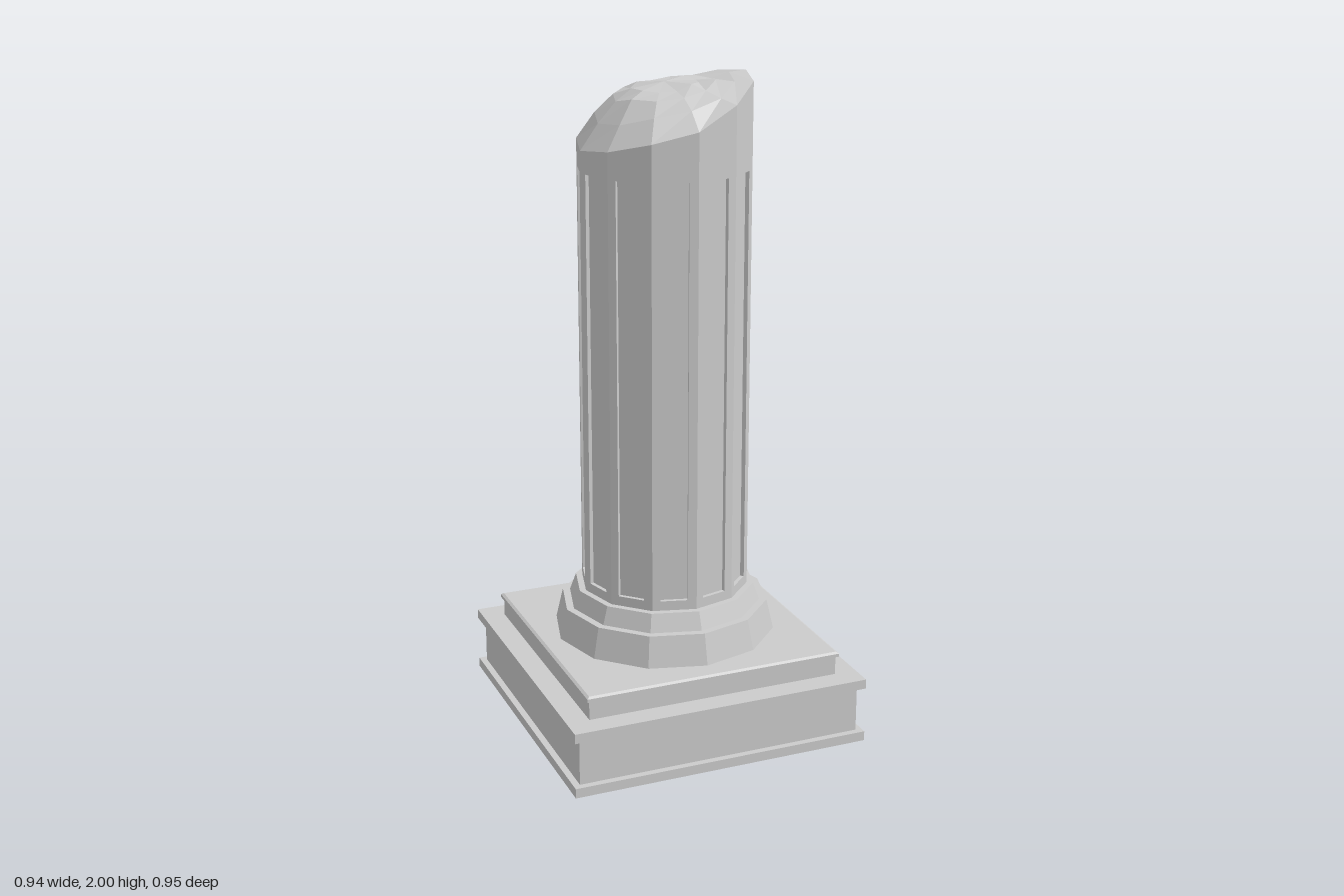
import * as THREE from 'three';

const SIDES = 12;
const RADIUS = 0.26;
const SHAFT_BOTTOM = 0.43;

const material = new THREE.MeshStandardMaterial({
  color: 0xcccccc, flatShading: true, side: THREE.DoubleSide,
});

function addMesh(group, name, geometry) {
  const mesh = new THREE.Mesh(geometry, material);
  mesh.name = name;
  group.add(mesh);
  return mesh;
}

// Faceted turned part from [radius, y] pairs
function turned(profile, sides, phiStart = 0, scale = 1) {
  const points = profile.map(([r, y]) => new THREE.Vector2(r * scale, y));
  return new THREE.LatheGeometry(points, sides, phiStart);
}

// Collects quads (corners counter-clockwise) into one geometry
function quadBuilder() {
  const positions = [];
  return {
    quad(a, b, c, d) {
      for (const p of [a, b, c, a, c, d]) positions.push(p.x, p.y, p.z);
    },
    build() {
      const geometry = new THREE.BufferGeometry();
      geometry.setAttribute('position', new THREE.Float32BufferAttribute(positions, 3));
      geometry.computeVertexNormals();
      return geometry;
    },
  };
}

const angleOf = (i) => (i / SIDES) * Math.PI * 2;

// Height of the slanted break along the shaft's rim, low at -x and high at +x
const RIM = [1.795, 1.81, 1.84, 1.872, 1.935, 1.985, 2.0];
function rimHeight(i) {
  const k = ((i % SIDES) + SIDES) % SIDES; // 0 = front, 3 = +x, 9 = -x
  const fromRight = Math.min(Math.abs(k - 3), SIDES - Math.abs(k - 3));
  return RIM[6 - fromRight];
}

// Twelve shaft faces, each with a sunken panel
function shaftGeometry() {
  const { quad, build } = quadBuilder();
  const depth = 0.012;
  const [t0, t1, y0, y1] = [0.18, 0.8, 0.46, 1.73];
  for (let i = 0; i < SIDES; i++) {
    const [a, b] = [angleOf(i), angleOf(i + 1)];
    const mid = (a + b) / 2;
    const at = (t, y, d = 0) => new THREE.Vector3(
      THREE.MathUtils.lerp(Math.sin(a), Math.sin(b), t) * RADIUS - Math.sin(mid) * d,
      y,
      THREE.MathUtils.lerp(Math.cos(a), Math.cos(b), t) * RADIUS - Math.cos(mid) * d,
    );
    const outer = [at(0, SHAFT_BOTTOM), at(1, SHAFT_BOTTOM), at(1, rimHeight(i + 1)), at(0, rimHeight(i))];
    const corners = [[t0, y0], [t1, y0], [t1, y1], [t0, y1]];
    const edge = corners.map(([t, y]) => at(t, y));
    const sunk = corners.map(([t, y]) => at(t, y, depth));
    for (let k = 0; k < 4; k++) {
      const n = (k + 1) % 4;
      quad(outer[k], outer[n], edge[n], edge[k]); // frame
      quad(edge[k], edge[n], sunk[n], sunk[k]); // reveal
    }
    quad(...sunk);
  }
  return build();
}

// Rough domed surface of the break, rising from the rim to the middle
function brokenTopGeometry() {
  const { quad, build } = quadBuilder();
  const peak = 1.98;
  const rings = [[RADIUS, 0], [0.205, 0.42], [0.15, 0.76], [0.1, 0.9], [0, 1]];
  const at = (ring, i) => {
    const [r, rise] = rings[ring];
    const rough = ring > 0 && ring < 4 ? 0.006 * Math.sin(i % SIDES * 2.3 + ring * 1.7) : 0;
    const y = Math.min(2, THREE.MathUtils.lerp(rimHeight(i), peak, rise) + rough);
    return new THREE.Vector3(r * Math.sin(angleOf(i)), y, r * Math.cos(angleOf(i)));
  };
  for (let ring = 0; ring < rings.length - 1; ring++) {
    for (let i = 0; i < SIDES; i++) {
      quad(at(ring, i), at(ring, i + 1), at(ring + 1, i + 1), at(ring + 1, i));
    }
  }
  return build();
}

export function createModel() {
  const model = new THREE.Group();
  model.name = 'brokenColumn';

  // Square stepped plinth, hollow and open underneath
  const plinth = addMesh(model, 'plinth', turned([
    [0.47, 0], [0.47, 0.03], [0.45, 0.03], [0.45, 0.175], [0.47, 0.175], [0.47, 0.205],
    [0.4, 0.205], [0.4, 0.262], [0.408, 0.265], [0.408, 0.275], [0.4, 0.28], [0, 0.28],
  ], 4, Math.PI / 4, Math.SQRT2));
  plinth.scale.z = 1.01;

  // Two-step collar at the foot of the shaft
  addMesh(model, 'baseCollar', turned([
    [0.345, 0.262], [0.345, 0.28], [0.323, 0.375], [0.3, 0.375], [0.28, 0.43], [0.25, 0.43],
  ], SIDES));

  addMesh(model, 'shaft', shaftGeometry());
  addMesh(model, 'brokenTop', brokenTopGeometry());
  return model;
}
